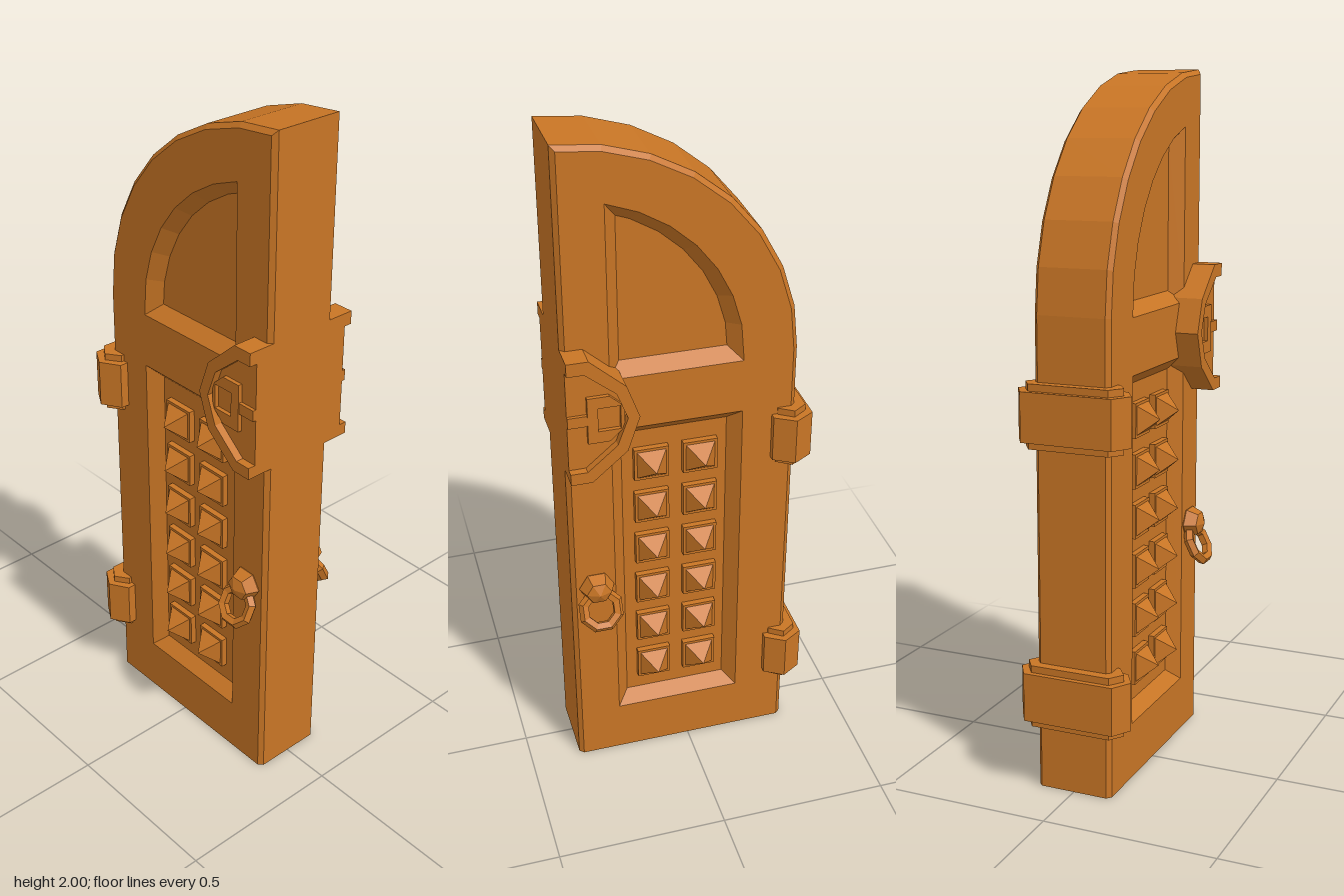
import * as THREE from 'three';
import { mergeGeometries } from 'three/addons/utils/BufferGeometryUtils.js';

const DEG = Math.PI / 180;
const FACE = 0.112, FLOOR = 0.075; // front face and panel floor depths
const vec = (pts) => pts.map(([x, y]) => new THREE.Vector2(x, y));

// Un-shared vertices give crisp facets
function facet(geo) {
  const g = geo.index ? geo.toNonIndexed() : geo;
  g.deleteAttribute('uv');
  g.computeVertexNormals();
  return g;
}

// Copy reflected to the back of the door, with corner order restored
function reflect(geo) {
  const g = geo.clone(), p = g.attributes.position;
  for (let i = 0; i < p.count; i += 3) {
    const a = [0, 2, 1].map((k) => new THREE.Vector3().fromBufferAttribute(geo.attributes.position, i + k));
    a.forEach((v, k) => p.setXYZ(i + k, v.x, v.y, -v.z));
  }
  g.computeVertexNormals();
  return g;
}

// Move every edge of a counter-clockwise loop inward by d
function inset(loop, d) {
  const n = loop.length;
  const normal = (a, b) => new THREE.Vector2(a.y - b.y, b.x - a.x).normalize();
  return loop.map((p, i) => {
    const n1 = normal(loop[(i + n - 1) % n], p), n2 = normal(p, loop[(i + 1) % n]);
    const m = n1.clone().add(n2);
    return p.clone().addScaledVector(m, d / (1 + n1.dot(n2)));
  });
}

// Strip of quads joining two loops at different depths
function band(a, za, b, zb) {
  const pos = [];
  a.forEach((p, i) => {
    const j = (i + 1) % a.length;
    const A = [p.x, p.y, za], B = [a[j].x, a[j].y, za];
    const C = [b[j].x, b[j].y, zb], D = [b[i].x, b[i].y, zb];
    pos.push(...A, ...B, ...C, ...A, ...C, ...D);
  });
  const g = new THREE.BufferGeometry();
  g.setAttribute('position', new THREE.Float32BufferAttribute(pos, 3));
  return facet(g);
}

function flat(loop, z, holes = []) {
  const s = new THREE.Shape(loop);
  holes.forEach((h) => s.holes.push(new THREE.Path(h)));
  return facet(new THREE.ShapeGeometry(s).translate(0, 0, z));
}

function slab(loop, z0, z1, hole) {
  const s = new THREE.Shape(loop);
  if (hole) s.holes.push(new THREE.Path(hole));
  return facet(new THREE.ExtrudeGeometry(s, { depth: z1 - z0, bevelEnabled: false }).translate(0, 0, z0));
}

// Arc about the centre of the door's curved top
function arc(r, from, to, steps) {
  return Array.from({ length: steps + 1 }, (_, i) => {
    const t = (from + ((to - from) * i) / steps) * DEG;
    return new THREE.Vector2(0.35 + r * Math.cos(t), 1.35 + r * Math.sin(t) * (r > 0.6 ? 0.65 / 0.66 : 1));
  });
}

export function createModel() {
  const root = new THREE.Group();
  root.name = 'archedDoorLeaf';
  const wood = new THREE.MeshStandardMaterial({ color: 0xc87525 });
  wood.name = 'warmBrown';

  const add = (name, geo) => {
    const m = new THREE.Mesh(geo, wood);
    m.name = name;
    root.add(m);
  };
  const addBoth = (name, geo) => {
    add(name + 'Front', geo);
    add(name + 'Back', reflect(geo));
  };

  // Door slab with chamfered edges and openings for two panels
  const outline = [...vec([[-0.31, 0], [0.35, 0]]), ...arc(0.66, 90, 180, 8)];
  const rim = inset(outline, 0.013);
  rim[0].y = rim[1].y = 0;
  const lower = vec([[-0.155, 0.165], [0.22, 0.165], [0.22, 1.175], [-0.155, 1.175]]);
  const upper = [...vec([[-0.155, 1.335], [0.22, 1.335]]), ...arc(0.505, 104.9, 169, 6)];
  add('slabEdge', band(outline, -0.1, outline, 0.1));
  addBoth('slabFace', mergeGeometries([band(outline, 0.1, rim, FACE), flat(rim, FACE, [lower, upper])]));

  // Recessed panels with sloping borders
  [['lowerPanel', lower], ['upperPanel', upper]].forEach(([name, loop]) => {
    const floor = inset(loop, 0.035);
    addBoth(name, mergeGeometries([band(loop, FACE, floor, FLOOR), flat(floor, FLOOR)]));
  });

  // Pyramid studs on square plinths
  const studs = [];
  for (const x of [-0.04, 0.102]) {
    for (let i = 0; i < 6; i++) {
      const y = 0.305 + i * 0.146;
      studs.push(facet(new THREE.BoxGeometry(0.1, 0.1, 0.02).translate(x, y, FLOOR + 0.008)));
      studs.push(facet(new THREE.ConeGeometry(0.042 * Math.SQRT2, 0.053, 4, 1, true)
        .rotateY(45 * DEG).rotateX(90 * DEG).translate(x, y, 0.1195)));
    }
  }
  addBoth('studs', mergeGeometries(studs));

  // Hinges: long hexagonal knuckles wrapping the edge, with smaller end caps
  const knuckle = (w, tip, shoulder, y0, y1) => {
    const loop = vec([[w, -shoulder], [w, shoulder], [0, tip], [-w, shoulder], [-w, -shoulder], [0, -tip]]);
    return slab(loop, y0, y1).rotateX(-90 * DEG).translate(-0.298, 0, 0.003);
  };
  [['lowerHinge', 0.28], ['upperHinge', 1.078]].forEach(([name, y]) => {
    add(name, knuckle(0.057, 0.168, 0.134, y - 0.07, y + 0.07));
    add(name + 'Caps', knuckle(0.041, 0.146, 0.118, y - 0.09, y + 0.09));
  });

  // Lock case: half octagon through the door with a raised open rim
  const caseLoop = vec([[0.35, 1.44], [0.29, 1.44], [0.19, 1.35], [0.155, 1.252],
    [0.19, 1.15], [0.29, 1.065], [0.35, 1.065]]);
  const inner = vec([[0.35, 1.1], [0.303, 1.1], [0.218, 1.172], [0.188, 1.252],
    [0.218, 1.332], [0.303, 1.402], [0.35, 1.402]]);
  add('lockCase', slab(caseLoop, -0.158, 0.158));
  addBoth('lockRim', slab([...caseLoop, ...inner], 0.158, 0.181));

  // Lock plate with square opening, and its bolt
  const plate = vec([[0.195, 1.22], [0.235, 1.182], [0.296, 1.182], [0.296, 1.322], [0.235, 1.322], [0.195, 1.285]]);
  const opening = vec([[0.205, 1.217], [0.205, 1.288], [0.267, 1.288], [0.267, 1.217]]);
  addBoth('lockPlate', slab(plate, 0.155, 0.17, opening));
  addBoth('lockBolt', facet(new THREE.BoxGeometry(0.054, 0.032, 0.012).translate(0.323, 1.253, 0.162)));

  // Pull handle: faceted knob holding a tilted ring
  addBoth('handleKnob', facet(new THREE.SphereGeometry(0.052, 6, 4)
    .rotateX(90 * DEG).scale(1, 0.95, 0.95).translate(0.277, 0.653, 0.115)));
  addBoth('handleRing', facet(new THREE.TorusGeometry(0.053, 0.016, 5, 8)
    .rotateZ(22.5 * DEG).rotateX(-27 * DEG).translate(0.273, 0.59, 0.145)));

  return root;
}
